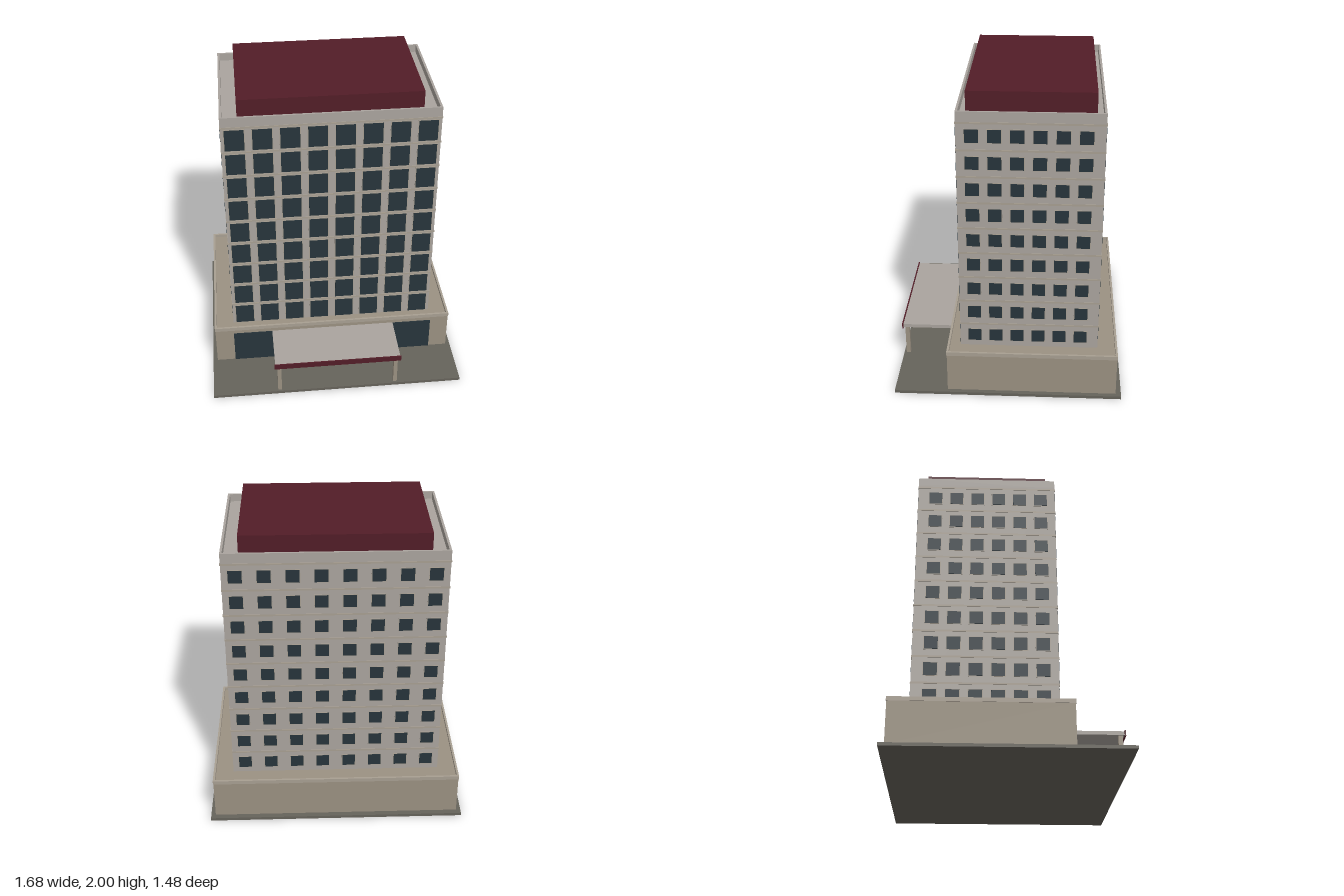
import * as THREE from 'three';
import { mergeGeometries } from 'three/addons/utils/BufferGeometryUtils.js';

const material = (color) => new THREE.MeshStandardMaterial({ color });

// Box geometry given by its extents
function box(x0, x1, y0, y1, z0, z1) {
  return new THREE.BoxGeometry(x1 - x0, y1 - y0, z1 - z0)
    .translate((x0 + x1) / 2, (y0 + y1) / 2, (z0 + z1) / 2);
}

// Rectangular ring of wall, thickness t measured inwards
function ring(x0, x1, y0, y1, z0, z1, t) {
  const shape = new THREE.Shape([[x0, -z0], [x0, -z1], [x1, -z1], [x1, -z0]].map((p) => new THREE.Vector2(...p)));
  const hole = [[x0 + t, -z0 - t], [x1 - t, -z0 - t], [x1 - t, -z1 + t], [x0 + t, -z1 + t]];
  shape.holes.push(new THREE.Path(hole.map((p) => new THREE.Vector2(...p))));
  return new THREE.ExtrudeGeometry(shape, { depth: y1 - y0, bevelEnabled: false })
    .rotateX(-Math.PI / 2).translate(0, y0, 0);
}

export function createModel() {
  const model = new THREE.Group();
  const concrete = material(0xaaa49e);
  const stone = material(0x9b9182);
  const trim = material(0xa89f92);
  const paving = material(0x66635b);
  const glass = material(0x27343b);
  const red = material(0x521d27);

  const add = (name, geometry, mat, parent = model) => {
    const mesh = new THREE.Mesh(geometry, mat);
    mesh.name = name;
    parent.add(mesh);
    return mesh;
  };

  // Ground and podium
  add('groundSlab', box(-0.84, 0.84, 0, 0.02, -0.74, 0.735), paving);
  add('podium', box(-0.81, 0.81, 0.02, 0.288, -0.705, 0.39), stone);
  add('podiumParapet', ring(-0.813, 0.813, 0.284, 0.31, -0.708, 0.393, 0.014), trim);
  add('entranceGlazing', box(-0.685, 0.685, 0.02, 0.257, 0.38, 0.395), glass);

  // Entrance canopy on two posts
  const canopy = new THREE.Group();
  canopy.name = 'entranceCanopy';
  model.add(canopy);
  add('canopyRoof', box(-0.42, 0.42, 0.234, 0.258, 0.39, 0.732), concrete, canopy);
  add('canopyFascia', box(-0.425, 0.425, 0.226, 0.264, 0.73, 0.738), red, canopy);
  for (const s of [-1, 1]) {
    add(s > 0 ? 'leftPost' : 'rightPost',
      box(s * 0.393 - 0.013, s * 0.393 + 0.013, 0.02, 0.236, 0.692, 0.72), stone, canopy);
  }

  // Tower with roof parapet and rooftop block
  const X = 0.683, Z0 = -0.58, Z1 = 0.31, zMid = (Z0 + Z1) / 2;
  add('tower', box(-X, X, 0.28, 1.86, Z0, Z1), concrete);
  add('towerParapet', ring(-X, X, 1.85, 1.91, Z0, Z1, 0.014), concrete);
  add('rooftopBlock', box(-0.577, 0.577, 1.86, 2, -0.527, 0.258), red);

  // Thin bands between floors
  const floors = 9, pitch = 0.1735;
  const bands = [];
  for (let i = 0; i < floors; i++) {
    const y = 1.839 - i * pitch, p = 0.003;
    bands.push(box(-X - p, X + p, y - 0.006, y + 0.006, Z0 - p, Z1 + p));
  }
  add('floorBands', mergeGeometries(bands), trim);

  // Grid of panes for a facade facing +z, then turned into place
  function facade(name, count, spacing, w, h, top, turn, x, z, frame) {
    const panes = [], frames = [];
    for (let row = 0; row < floors; row++) {
      for (let col = 0; col < count; col++) {
        const cx = (col - (count - 1) / 2) * spacing;
        const cy = top - row * pitch;
        panes.push(box(cx - w / 2, cx + w / 2, cy - h / 2, cy + h / 2, -0.01, 0.004));
        frames.push(box(cx - w / 2 - frame, cx + w / 2 + frame, cy - h / 2 - frame, cy + h / 2 + frame, -0.01, 0.002));
      }
    }
    const group = new THREE.Group();
    group.name = name;
    group.position.set(x, 0, z);
    group.rotation.y = turn;
    add('windowPanes', mergeGeometries(panes), glass, group);
    add('windowFrames', mergeGeometries(frames), trim, group);
    model.add(group);
  }
  facade('frontWindows', 8, 0.1715, 0.122, 0.144, 1.752, 0, 0, Z1, 0.005);
  facade('backWindows', 8, 0.1715, 0.083, 0.083, 1.757, Math.PI, 0, Z0, 0.004);
  facade('leftWindows', 6, 0.1365, 0.083, 0.083, 1.757, Math.PI / 2, X, zMid + 0.01, 0.004);
  facade('rightWindows', 6, 0.1365, 0.083, 0.083, 1.757, -Math.PI / 2, -X, zMid + 0.01, 0.004);

  return model;
}
